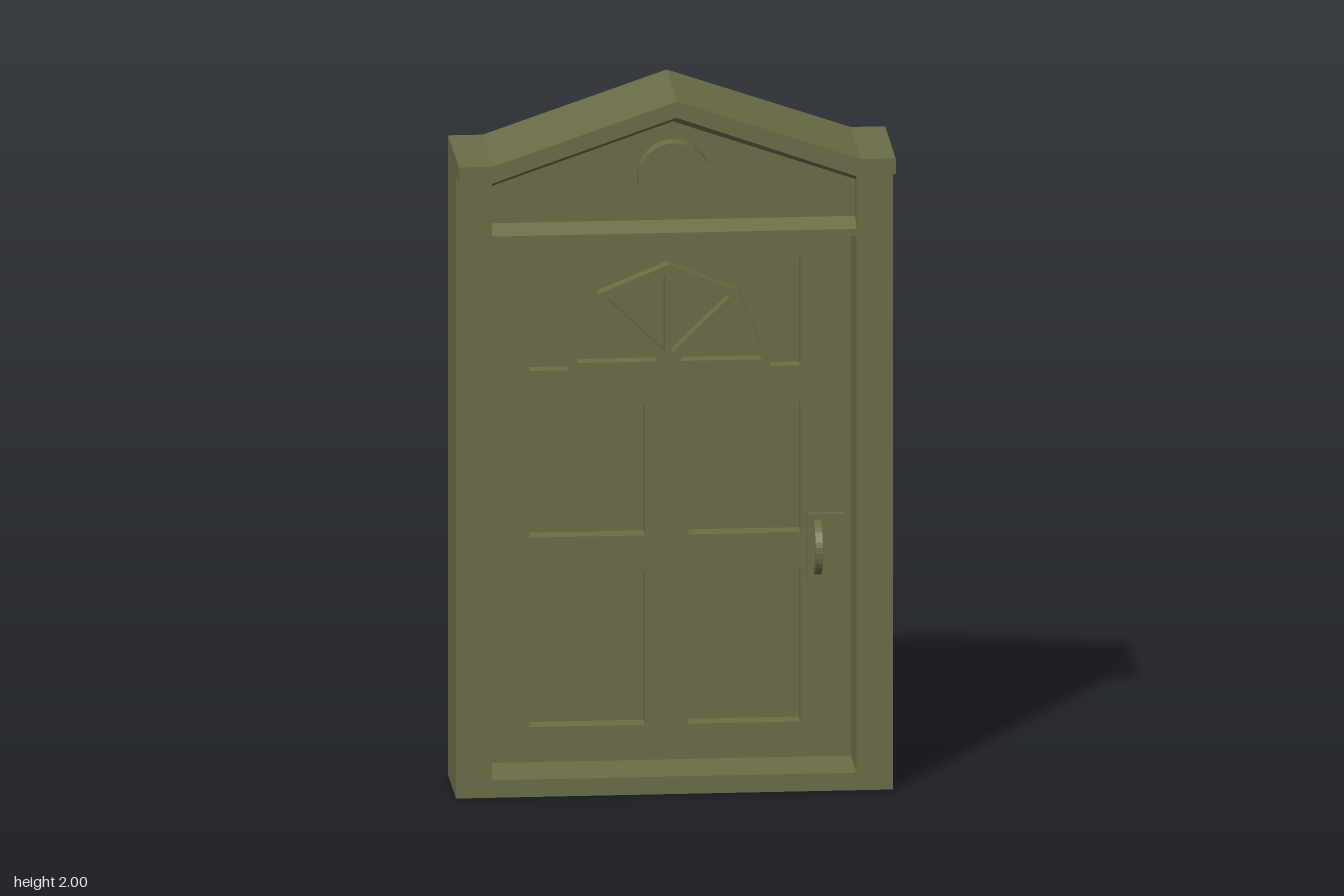
import * as THREE from 'three';

const BACK = -0.175, FACE = 0.08, EAVE = 0.18, DOOR = -0.11;

export function createModel() {
  const group = new THREE.Group();
  const material = new THREE.MeshStandardMaterial({
    color: 0x6b6c47, side: THREE.DoubleSide, flatShading: true,
  });

  const add = (name, geometry, x = 0, y = 0, z = 0) => {
    const mesh = new THREE.Mesh(geometry, material);
    mesh.name = name;
    mesh.position.set(x, y, z);
    group.add(mesh);
    return mesh;
  };
  const toShape = (points, holes = []) => {
    const shape = new THREE.Shape(points.map(p => new THREE.Vector2(...p)));
    shape.holes = holes.map(h => new THREE.Path(h.map(p => new THREE.Vector2(...p))));
    return shape;
  };
  const rect = (x0, y0, x1, y1) => [[x0, y0], [x1, y0], [x1, y1], [x0, y1]];
  const mirrored = points => points.map(([x, y]) => [-x, y]).reverse();

  // Strip of quads from outline a at depth za to outline b at depth zb
  const loft = (a, za, b, zb, closed = false) => {
    const v = [];
    for (let i = 0; i < a.length - (closed ? 0 : 1); i++) {
      const j = (i + 1) % a.length;
      const p = [...a[i], za], q = [...a[j], za], r = [...b[j], zb], s = [...b[i], zb];
      v.push(...p, ...q, ...r, ...p, ...r, ...s);
    }
    const g = new THREE.BufferGeometry();
    g.setAttribute('position', new THREE.Float32BufferAttribute(v, 3));
    g.computeVertexNormals();
    return g;
  };

  // Roof: thin top sheet, front fascia and soffit back to the frame
  const ridge = [[-0.605, 1.825], [-0.51, 1.825], [0, 2], [0.51, 1.825], [0.605, 1.825]];
  const soffit = [[-0.605, 1.78], [-0.505, 1.78], [0, 1.955], [0.505, 1.78], [0.605, 1.78]];
  add('roofTop', loft(ridge, EAVE, ridge, BACK), 0, 0, 0);
  add('roofFascia', loft(soffit, EAVE, ridge, EAVE));
  add('roofSoffit', loft(soffit, FACE, soffit, EAVE));
  for (const s of [-1, 1]) {
    const end = [[s * 0.605, 1.78], [s * 0.605, 1.825]];
    add('roofEnd', loft(end, FACE, end, EAVE));
    const side = [[s * 0.605, 0], [s * 0.605, 1.825]];
    add('frameSide', loft(side, BACK, side, FACE));
  }

  // Frame front with doorway and pediment openings
  const doorway = rect(-0.505, 0.05, 0.505, 1.58);
  const gable = [[-0.505, 1.6], [0.505, 1.6], [0.505, 1.75], [0, 1.93], [-0.505, 1.75]];
  const gableBack = [[-0.505, 1.625], [0.505, 1.625], [0.505, 1.73], [0, 1.905], [-0.505, 1.73]];
  const outline = [[-0.605, 0], [0.605, 0], ...[...soffit].reverse()];
  add('frameFront', new THREE.ShapeGeometry(toShape(outline, [doorway, gable])), 0, 0, FACE);
  add('doorwayLining', loft(doorway, FACE, doorway, BACK, true));

  // Recessed pediment panel with a raised round boss, hollow behind
  const panelZ = 0.03, bossY = 1.755, bossR = 0.1;
  const circle = Array.from({ length: 32 }, (_, i) => {
    const t = i / 32 * Math.PI * 2;
    return [bossR * Math.cos(t), bossY + bossR * Math.sin(t)];
  });
  add('pedimentReveal', loft(gable, FACE, gableBack, panelZ, true));
  add('pedimentPanel', new THREE.ShapeGeometry(toShape(gableBack, [circle])), 0, 0, panelZ);
  add('pedimentBossRim', loft(circle, panelZ, circle, FACE, true));
  add('pedimentBoss', new THREE.CircleGeometry(bossR, 32), 0, bossY, FACE);

  // Door slab: four sunk panels and a fanlight cut through it
  const panels = [];
  for (const [x0, x1] of [[-0.385, -0.065], [0.055, 0.365]])
    for (const [y0, y1] of [[0.15, 0.59], [0.69, 1.06]]) panels.push(rect(x0, y0, x1, y1));
  const fanSurround = [
    [-0.385, 1.165], [-0.28, 1.165], [-0.195, 1.38], [0, 1.46], [0.195, 1.38],
    [0.28, 1.165], [0.365, 1.165], [0.365, 1.475], [-0.385, 1.475],
  ];
  const outerPane = [[0.255, 1.185], [0.185, 1.35], [0.03, 1.185]];
  const innerPane = [[0.01, 1.21], [0.17, 1.365], [0.01, 1.43]];
  const fanPanes = [outerPane, innerPane, mirrored(outerPane), mirrored(innerPane)];
  add('door', new THREE.ExtrudeGeometry(
    toShape(doorway, [...panels, fanSurround, ...fanPanes]),
    { depth: DOOR - BACK, bevelEnabled: false }), 0, 0, BACK);
  for (const p of panels)
    add('doorPanel', new THREE.ExtrudeGeometry(toShape(p),
      { depth: 0.01, bevelEnabled: false }), 0, 0, BACK);
  add('fanlightPane', new THREE.PlaneGeometry(0.75, 0.31), -0.01, 1.32, -0.155);

  // Handle: back plate and a bowed pull
  add('handlePlate', new THREE.BoxGeometry(0.1, 0.195, 0.015), 0.435, 0.6475, DOOR + 0.0075);
  const bow = new THREE.Shape();
  bow.moveTo(0, -0.08);
  bow.quadraticCurveTo(0.09, -0.07, 0.09, 0);
  bow.quadraticCurveTo(0.09, 0.07, 0, 0.08);
  bow.lineTo(0, 0.062);
  bow.quadraticCurveTo(0.072, 0.055, 0.072, 0);
  bow.quadraticCurveTo(0.072, -0.055, 0, -0.062);
  const pull = new THREE.ExtrudeGeometry(bow, { depth: 0.02, bevelEnabled: false, curveSegments: 8 });
  pull.rotateY(-Math.PI / 2);
  add('handlePull', pull, 0.42, 0.65, DOOR);

  return group;
}
